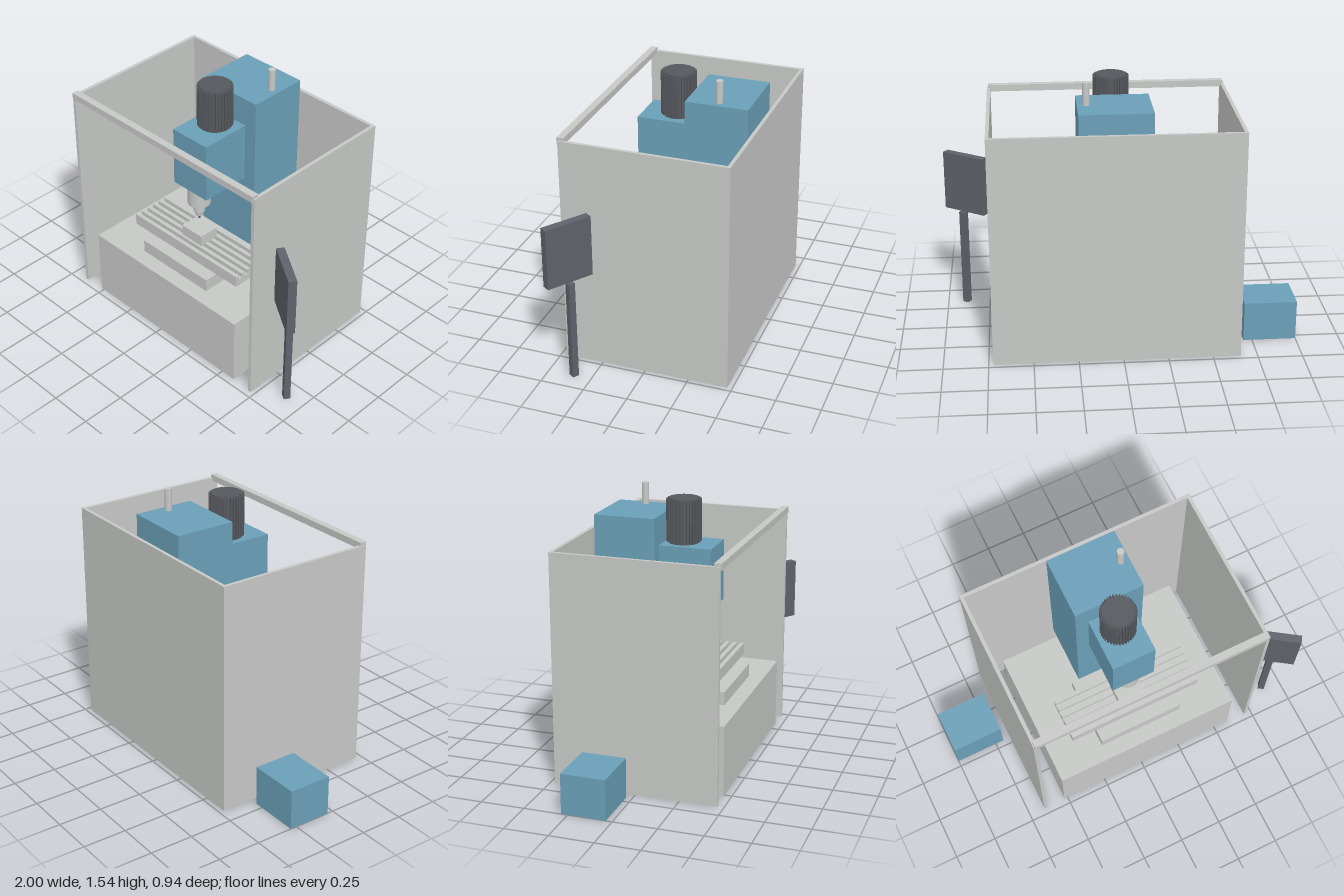
import * as THREE from 'three';

const mat = (name, color) => {
  const m = new THREE.MeshStandardMaterial({ color });
  m.name = name;
  return m;
};

export function createModel() {
  const model = new THREE.Group();
  model.name = 'millingMachine';
  const grey = mat('lightGrey', 0xc6c8c6);
  const blue = mat('steelBlue', 0x6a9fb7);
  const slate = mat('slate', 0x5f626b);
  const dark = mat('darkGrey', 0x55585d);

  const add = (name, geometry, material, parent = model) => {
    const mesh = new THREE.Mesh(geometry, material);
    mesh.name = name;
    parent.add(mesh);
    return mesh;
  };
  // Box given by its limits on each axis
  const box = (name, [x0, x1], [y0, y1], [z0, z1], material) => {
    const mesh = add(name, new THREE.BoxGeometry(x1 - x0, y1 - y0, z1 - z0), material);
    mesh.position.set((x0 + x1) / 2, (y0 + y1) / 2, (z0 + z1) / 2);
    return mesh;
  };
  // Upright cylinder given by its bottom and top heights
  const cyl = (name, rTop, rBottom, y0, y1, x, z, material, sides = 32) => {
    const mesh = add(name, new THREE.CylinderGeometry(rTop, rBottom, y1 - y0, sides), material);
    mesh.position.set(x, (y0 + y1) / 2, z);
    return mesh;
  };
  const cx = 0.035;

  // Enclosure: three walls, open front, top and floor
  const H = 1.317;
  box('backWall', [-0.655, 0.725], [0, H], [-0.472, -0.452], grey);
  box('rightWall', [-0.655, -0.635], [0, H], [-0.452, 0.465], grey);
  box('leftWall', [0.705, 0.725], [0, H], [-0.452, 0.465], grey);
  box('frontRail', [-0.648, 0.718], [1.297, 1.335], [0.432, 0.472], grey);

  // Bed and saddle
  box('base', [-0.52, 0.59], [0, 0.405], [-0.36, 0.458], grey);
  box('saddle', [-0.22, 0.285], [0.405, 0.482], [-0.035, 0.368], grey);

  // Table with lengthwise slots, profile extruded along x
  const slots = 5, width = 0.248, length = 0.81, step = width / (slots * 2 + 1);
  const profile = new THREE.Shape();
  profile.moveTo(0, 0);
  profile.lineTo(width, 0);
  profile.lineTo(width, 0.068);
  for (let i = slots; i > 0; i--) {
    const a = 2 * i * step, b = a - step;
    profile.lineTo(a, 0.068);
    profile.lineTo(a, 0.043);
    profile.lineTo(b, 0.043);
    profile.lineTo(b, 0.068);
  }
  profile.lineTo(0, 0.068);
  const tableGeo = new THREE.ExtrudeGeometry(profile, { depth: length, bevelEnabled: false });
  tableGeo.rotateY(-Math.PI / 2);
  add('table', tableGeo, grey).position.set(0.44, 0.482, 0.043);
  box('workpiece', [-0.042, 0.11], [0.55, 0.615], [0.11, 0.232], grey);

  // Column and head
  box('column', [-0.165, 0.237], [0.405, 1.415], [-0.41, -0.058], blue);
  box('head', [-0.09, 0.162], [0.9, 1.25], [-0.058, 0.242], blue);
  cyl('columnPost', 0.02, 0.02, 1.415, 1.54, 0.187, -0.235, grey);
  const knob = cyl('headKnob', 0.013, 0.013, 0, 0.024, 0, 0, dark, 20);
  knob.rotation.z = Math.PI / 2;
  knob.position.set(0.174, 0.988, 0.142);

  // Motor with cooling fins
  const motor = new THREE.Group();
  motor.name = 'motor';
  motor.position.set(cx, 1.25, 0.047);
  model.add(motor);
  add('motorBody', new THREE.CylinderGeometry(0.087, 0.087, 0.253, 48), dark, motor).position.y = 0.1265;
  const fins = 36;
  const finGeo = new THREE.BoxGeometry(0.02, 0.238, 0.008).translate(0.089, 0.128, 0);
  for (let i = 0; i < fins; i++) {
    add('motorFin', finGeo, dark, motor).rotation.y = (i / fins) * Math.PI * 2;
  }

  // Spindle, collet and cutter
  const sz = 0.172;
  cyl('spindleHousing', 0.065, 0.065, 0.79, 0.9, cx, sz, grey);
  cyl('spindleNose', 0.033, 0.033, 0.735, 0.79, cx, sz, grey);
  cyl('collet', 0.028, 0.022, 0.705, 0.735, cx, sz, grey);
  cyl('cutter', 0.005, 0.005, 0.678, 0.705, cx, sz, dark, 12);

  // Separate supply cabinet
  box('cabinet', [-1, -0.7], [0, 0.23], [-0.287, -0.035], blue);

  // Control panel on a square pole, turned towards the operator
  const panel = new THREE.Group();
  panel.name = 'controlPanel';
  panel.position.set(0.868, 0, 0.37);
  panel.rotation.y = -0.597;
  model.add(panel);
  add('panelBox', new THREE.BoxGeometry(0.276, 0.35, 0.046), slate, panel).position.y = 0.76;
  add('panelPole', new THREE.BoxGeometry(0.037, 0.585, 0.037), slate, panel).position.set(0.006, 0.2925, -0.026);

  return model;
}
